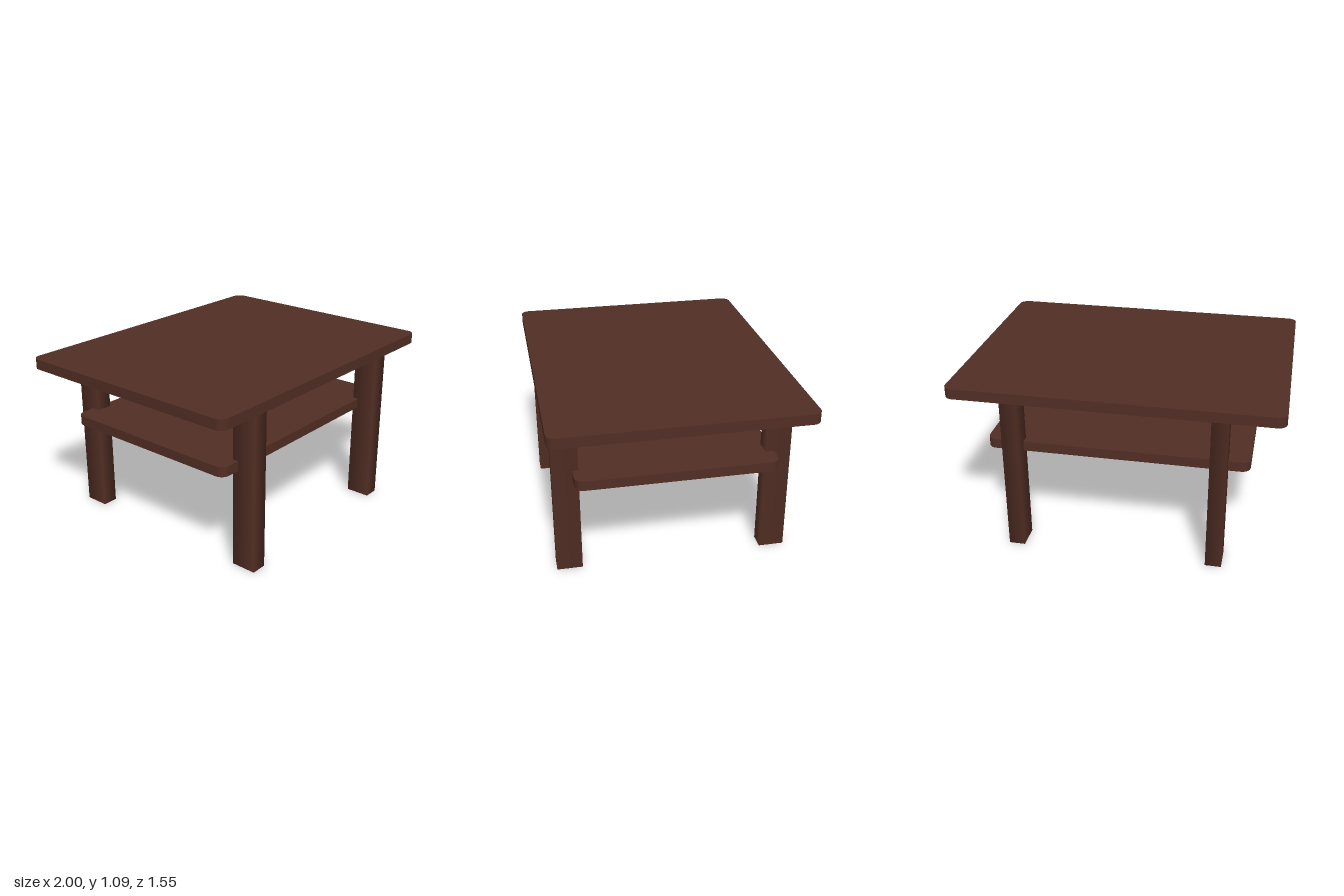
import * as THREE from 'three';
import { toCreasedNormals } from 'three/addons/utils/BufferGeometryUtils.js';

// Horizontal board with rounded corners, its underside at y = 0
function board(halfX, halfZ, thickness, radius) {
  const s = new THREE.Shape();
  s.moveTo(halfX, halfZ - radius);
  s.absarc(halfX - radius, halfZ - radius, radius, 0, Math.PI / 2);
  s.absarc(-halfX + radius, halfZ - radius, radius, Math.PI / 2, Math.PI);
  s.absarc(-halfX + radius, -halfZ + radius, radius, Math.PI, Math.PI * 1.5);
  s.absarc(halfX - radius, -halfZ + radius, radius, Math.PI * 1.5, Math.PI * 2);
  const geo = new THREE.ExtrudeGeometry(s, { depth: thickness, bevelEnabled: false, curveSegments: 8 });
  geo.rotateX(-Math.PI / 2);
  return toCreasedNormals(geo, 0.6);
}

export function createModel() {
  const group = new THREE.Group();
  const wood = new THREE.MeshStandardMaterial({ color: 0x512e24, side: THREE.DoubleSide });
  wood.name = 'dark brown wood';

  const add = (name, geo, x, y, z) => {
    const mesh = new THREE.Mesh(geo, wood);
    mesh.name = name;
    mesh.position.set(x, y, z);
    group.add(mesh);
  };

  // Top and lower shelf
  add('tableTop', board(1, 0.775, 0.065, 0.055), 0, 1.023, 0);
  add('shelf', board(0.81, 0.615, 0.062, 0.055), 0, 0.63, 0);

  // Four hollow, soft-shaded rectangular legs
  const leg = new THREE.CylinderGeometry(Math.SQRT1_2, Math.SQRT1_2, 1, 4, 1, true, Math.PI / 4);
  leg.scale(0.1, 1.023, 0.158);
  for (const [side, x] of [['Left', 0.628], ['Right', -0.628]]) {
    add('front' + side + 'Leg', leg, x, 0.5115, 0.658);
    add('back' + side + 'Leg', leg, x, 0.5115, -0.64);
  }
  return group;
}
